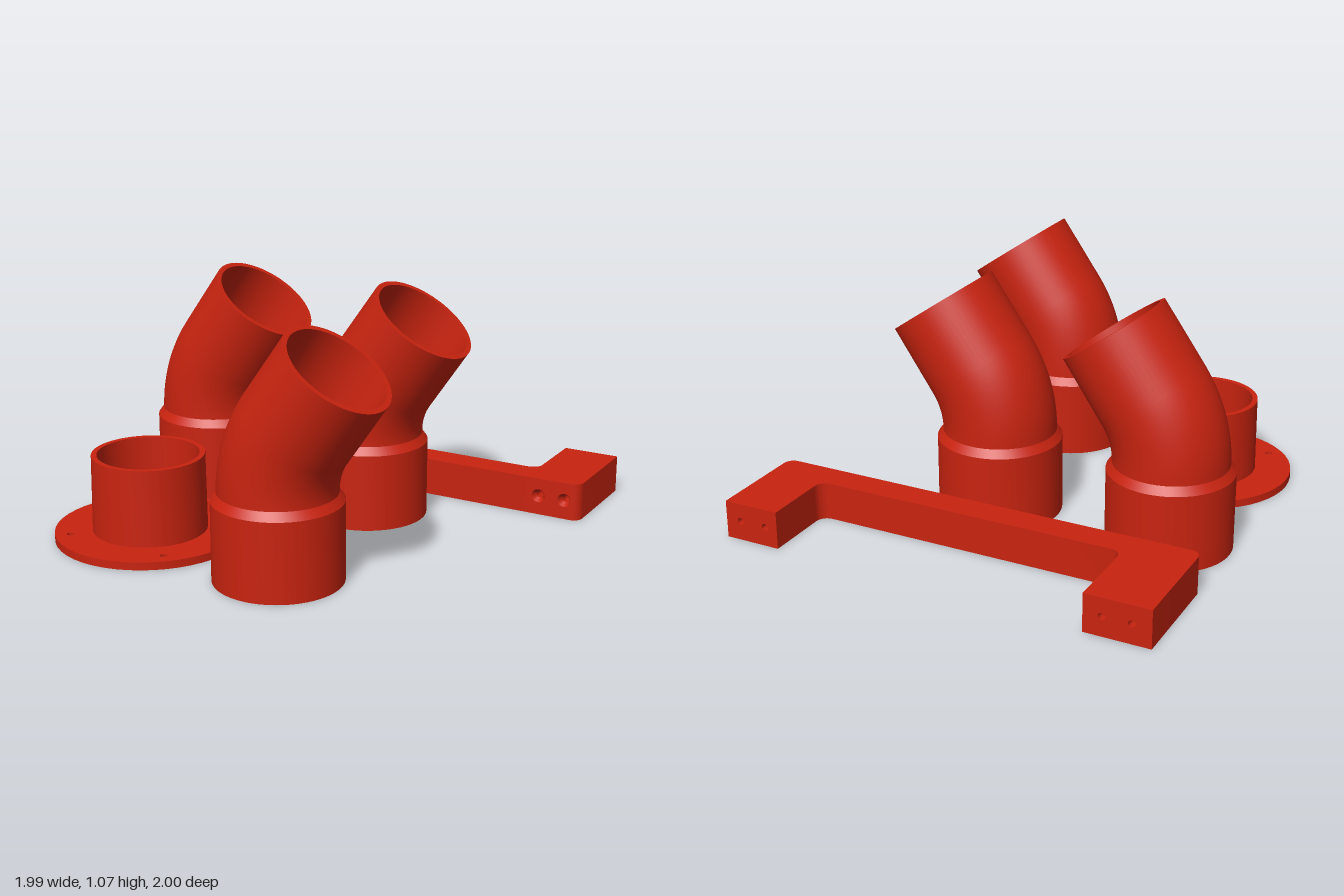
import * as THREE from 'three';
import { toCreasedNormals } from 'three/addons/utils/BufferGeometryUtils.js';

const red = new THREE.MeshStandardMaterial({ color: 0xc8230f, side: THREE.DoubleSide });
red.name = 'red plastic';

function add(parent, name, geometry, x = 0, y = 0, z = 0) {
  const mesh = new THREE.Mesh(toCreasedNormals(geometry, 0.4), red);
  mesh.name = name;
  mesh.position.set(x, y, z);
  parent.add(mesh);
  return mesh;
}

function lathe(pairs) {
  return new THREE.LatheGeometry(pairs.map(([r, h]) => new THREE.Vector2(r, h)), 72);
}

function circleHole(x, y, r) {
  const path = new THREE.Path();
  path.absarc(x, y, r, 0, Math.PI * 2, true);
  return path;
}

function extrude(shape, depth) {
  return new THREE.ExtrudeGeometry(shape, { depth, bevelEnabled: false, curveSegments: 24 });
}

// Shape drawn as (x, -z), raised along y
const raise = (shape, height) => extrude(shape, height).rotateX(-Math.PI / 2);

function rectShape(x0, y0, x1, y1) {
  return new THREE.Shape([[x0, y0], [x1, y0], [x1, y1], [x0, y1]].map(p => new THREE.Vector2(...p)));
}

// Hollow socket and pipe, turned upright and then bent towards +x
function elbowGeometry() {
  const start = 0.38, R = 0.484, angle = THREE.MathUtils.degToRad(35);
  const arc = R * angle, end = start + arc + 0.326, steps = 14;
  const outer = [[0.275, 0], [0.275, 0.345]], inner = [[0.254, 0], [0.254, 0.345]];
  const heights = [];
  for (let i = 0; i <= steps; i++) heights.push(start + arc * i / steps);
  heights.push(end);
  for (const h of heights) {
    const t = (h - start) / (end - start);
    outer.push([0.25 - 0.005 * t, h]);
    inner.push([0.226 - 0.004 * t, h]);
  }
  const geometry = lathe([...outer, ...inner.reverse(), [0.275, 0]]);
  const p = geometry.attributes.position;
  for (let i = 0; i < p.count; i++) {
    const h = p.getY(i);
    if (h <= start) continue;
    const a = Math.min((h - start) / R, angle);
    const rest = Math.max(0, h - start - arc);
    const x = p.getX(i);
    p.setX(i, R * (1 - Math.cos(a)) + rest * Math.sin(a) + x * Math.cos(a));
    p.setY(i, start + R * Math.sin(a) + rest * Math.cos(a) - x * Math.sin(a));
  }
  return geometry;
}

// Drilled plate with a short upright tube
function createFlange() {
  const group = new THREE.Group();
  group.name = 'flange';
  const disc = new THREE.Shape();
  disc.absarc(0, 0, 0.415, 0, Math.PI * 2, false);
  disc.holes.push(circleHole(0, 0, 0.224));
  for (const sx of [-1, 1]) for (const sy of [-1, 1]) {
    disc.holes.push(circleHole(sx * 0.247, sy * 0.247, 0.016));
  }
  add(group, 'flangePlate', raise(disc, 0.035));
  add(group, 'flangeTube', lathe([[0.251, 0.03], [0.246, 0.375], [0.222, 0.375], [0.224, 0.03]]));
  group.position.set(-0.58, 0, 0.583);
  return group;
}

// Bracket: long bar with a drilled arm at each end
function createBracket() {
  const group = new THREE.Group();
  group.name = 'bracket';
  const H = 0.17, front = -0.49, back = -0.625, xl = -0.705, xr = 0.735, f = 0.05, c = 0.045, sink = 0.025;

  // Bar with filleted inner corners
  const bar = new THREE.Shape();
  bar.moveTo(xl, -front);
  bar.lineTo(xr, -front);
  bar.lineTo(xr, -back + f);
  bar.absarc(xr - f, -back + f, f, 0, -Math.PI / 2, true);
  bar.lineTo(xl + f, -back);
  bar.absarc(xl + f, -back + f, f, -Math.PI / 2, -Math.PI, true);
  bar.closePath();
  add(group, 'bracketBar', raise(bar, H));

  const arms = [
    { side: -1, inside: xl, outside: -0.995, end: -1, holes: [-0.912, -0.787] },
    { side: 1, inside: xr, outside: 0.992, end: -0.965, holes: [0.795, 0.92] },
  ];
  for (const { side, inside, outside, end, holes } of arms) {
    const seam = outside - side * c;
    const x0 = Math.min(inside, seam), x1 = Math.max(inside, seam);
    // Drilled block, then a front layer with wider countersunk openings
    const layers = [[0.016, end, front - sink], [0.031, front - sink, front]];
    for (const [r, z0, z1] of layers) {
      const block = rectShape(x0, 0, x1, H);
      for (const x of holes) block.holes.push(circleHole(x, 0.088, r));
      add(group, 'bracketArm', extrude(block, z1 - z0), 0, 0, z0);
    }
    for (const x of holes) {
      const cone = new THREE.CylinderGeometry(0.031, 0.016, sink, 24, 1, true).rotateX(Math.PI / 2);
      cone.setIndex(Array.from(cone.index.array).reverse());
      add(group, 'countersink', cone, x, 0.088, front - sink / 2);
    }
    // Outer strip with the rounded front corner
    const strip = new THREE.Shape();
    strip.moveTo(seam, -end);
    strip.lineTo(outside, -end);
    strip.lineTo(outside, -front + c);
    strip.absarc(seam, -front + c, c, side > 0 ? 0 : Math.PI, side > 0 ? -Math.PI / 2 : Math.PI * 1.5, side > 0);
    strip.closePath();
    add(group, 'bracketEdge', raise(strip, H));
  }
  return group;
}

export function createModel() {
  const model = new THREE.Group();
  model.name = 'pipeFittings';
  const places = [[-0.72, -0.16], [0.09, -0.16], [0.165, 0.723]];
  for (const [x, z] of places) add(model, 'elbowPipe', elbowGeometry(), x, 0, z);
  model.add(createFlange(), createBracket());
  return model;
}
